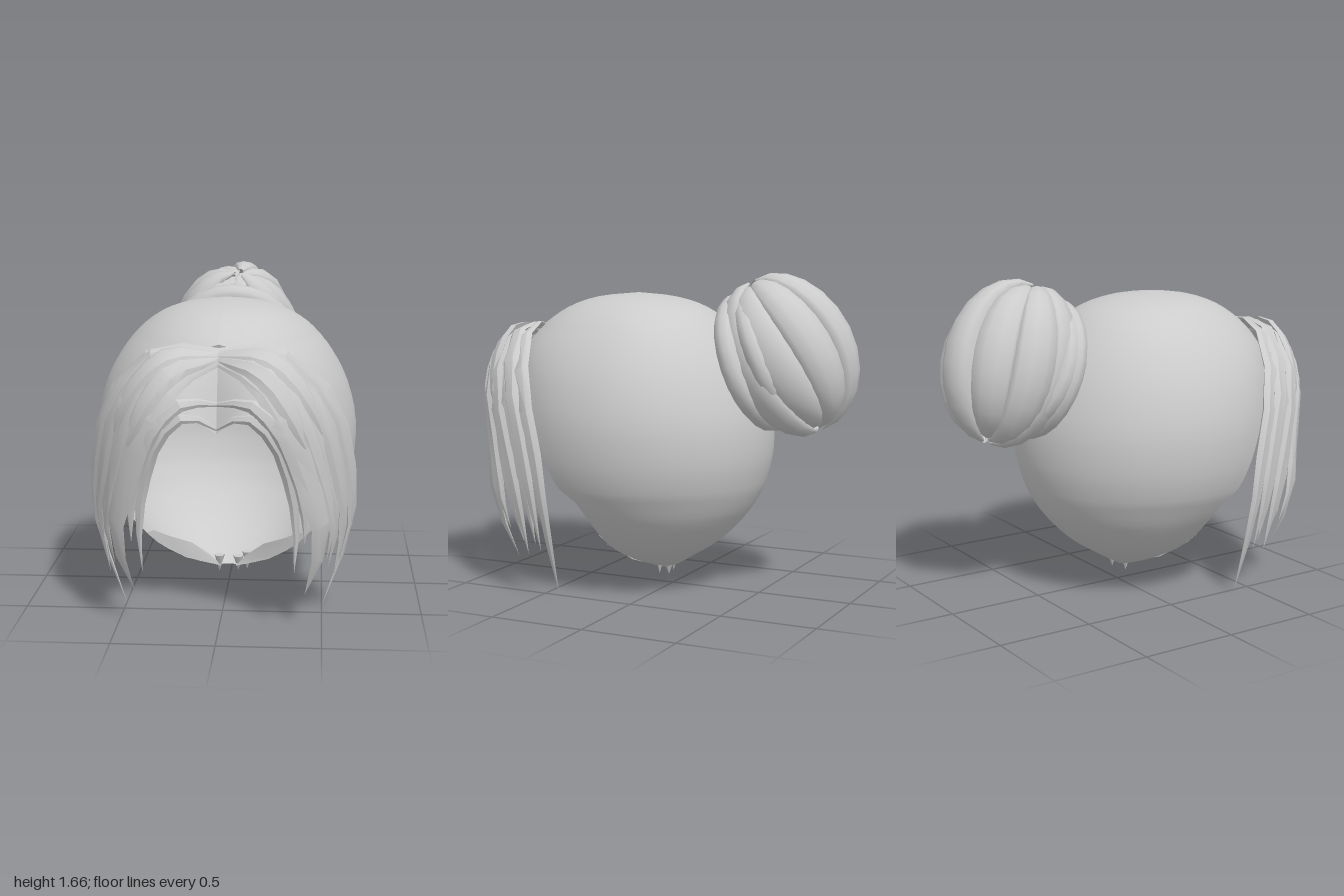
import * as THREE from 'three';
import { toCreasedNormals } from 'three/addons/utils/BufferGeometryUtils.js';

const V = (x, y, z) => new THREE.Vector3(x, y, z);
const curve = (pts) => new THREE.CatmullRomCurve3(pts.map((p) => V(...p)));
const material = new THREE.MeshStandardMaterial({ color: 0xcccccc, side: THREE.DoubleSide });

// Skin a list of equally long rows of points
function skin(rows, closed = false) {
  const n = rows[0].length, index = [];
  for (let i = 0; i < rows.length - 1; i++) {
    for (let k = 0; k < (closed ? n : n - 1); k++) {
      const a = i * n + k, b = i * n + ((k + 1) % n);
      index.push(a, b, a + n, b, b + n, a + n);
    }
  }
  const geometry = new THREE.BufferGeometry().setFromPoints(rows.flat());
  geometry.setIndex(index);
  geometry.computeVertexNormals();
  return geometry;
}

// Lens-shaped lock: path(t) is its centre line, across(t) its width direction
function lock(path, across, width, thick, steps, sides) {
  const rows = [];
  for (let i = 0; i <= steps; i++) {
    const t = i / steps, e = 0.01;
    const p = path(t);
    const tangent = path(Math.min(1, t + e)).sub(path(Math.max(0, t - e))).normalize();
    const side = across(t);
    side.addScaledVector(tangent, -side.dot(tangent)).normalize();
    const normal = tangent.clone().cross(side);
    rows.push(Array.from({ length: sides }, (_, k) => {
      const a = (k / sides) * Math.PI * 2;
      return p.clone()
        .addScaledVector(side, Math.cos(a) * width(t))
        .addScaledVector(normal, Math.sin(a) * thick(t));
    }));
  }
  return skin(rows, true);
}

// Skull cap: horizontal layers, open at the face
function capGeometry() {
  // half width, height, back z
  const outer = curve([[0.04, 0.12, 0], [0.22, 0.19, -0.12], [0.37, 0.29, -0.27], [0.51, 0.44, -0.41],
    [0.58, 0.545, -0.47], [0.615, 0.61, -0.495], [0.655, 0.75, -0.525], [0.665, 0.95, -0.52], [0.62, 1.15, -0.46],
    [0.545, 1.3, -0.38], [0.45, 1.42, -0.28], [0.34, 1.505, -0.17], [0.2, 1.56, -0.01], [0, 1.585, 0.2]]);
  // full front z, rim z, z of the widest point
  const front = curve([[0.1, 0.04, 0.02], [0.3, 0.13, 0.05], [0.55, 0.2, 0.08], [0.7, 0.24, 0.1],
    [0.78, 0.28, 0.12], [0.82, 0.37, 0.12], [0.85, 0.44, 0.12], [0.86, 0.53, 0.12], [0.86, 0.64, 0.12],
    [0.82, 0.73, 0.12], [0.72, 0.72, 0.12], [0.59, 0.59, 0.15], [0.43, 0.43, 0.19], [0.2, 0.2, 0.2]]);
  const rows = [];
  for (let i = 0; i <= 39; i++) {
    const o = outer.getPoint(i / 39), f = front.getPoint(i / 39);
    const rim = i >= 30 ? Math.PI / 2 : Math.asin(Math.min(1, (f.y - f.z) / (f.x - f.z)));
    rows.push(Array.from({ length: 41 }, (_, k) => {
      const a = rim - (k / 40) * (Math.PI + 2 * rim), s = Math.sin(a);
      return V(o.x * Math.cos(a), o.y, f.z + s * (s > 0 ? f.x - f.z : f.z - o.z));
    }));
  }
  return skin(rows);
}

// Guide lines of the fringe, from the face edge to the temple
const guides = [
  [[0, 1.03, 0.9], [0.13, 1.11, 0.96], [0.25, 1.03, 0.95], [0.33, 0.83, 0.89], [0.365, 0.6, 0.85], [0.36, 0.29, 0.81]],
  [[0, 1.35, 0.79], [0.2, 1.27, 0.9], [0.33, 1.08, 0.92], [0.43, 0.8, 0.84], [0.49, 0.5, 0.78], [0.41, 0.2, 0.7]],
  [[0, 1.38, 0.77], [0.25, 1.36, 0.82], [0.45, 1.13, 0.79], [0.54, 0.8, 0.68], [0.58, 0.55, 0.6], [0.54, 0.26, 0.56]],
  [[0, 1.4, 0.74], [0.27, 1.4, 0.7], [0.53, 1.16, 0.59], [0.63, 0.82, 0.46], [0.64, 0.48, 0.4], [0.49, 0.01, 0.4]],
].map(curve);

function fringePoint(s, t, mirror) {
  const p = new THREE.CatmullRomCurve3(guides.map((g) => g.getPoint(t))).getPoint(s);
  p.x *= mirror;
  return p;
}

function fringeLock([s, length, halfWidth, lift], mirror) {
  const path = (t) => {
    const p = fringePoint(s, t * length, mirror);
    const out = p.clone().sub(V(0, 0.8, 0.2)).normalize();
    return p.addScaledVector(out, lift * Math.min(1, t * 4));
  };
  const across = (t) => fringePoint(Math.min(1, s + 0.03), t * length, mirror)
    .sub(fringePoint(Math.max(0, s - 0.03), t * length, mirror));
  const taper = (t) => Math.min(1, 0.25 + 2.2 * t) * (t > 0.62 ? Math.pow((1 - t) / 0.38, 0.65) : 1);
  return toCreasedNormals(lock(path, across, (t) => halfWidth * taper(t), (t) => 0.024 * taper(t), 8, 6), 0.5);
}

// Place along the fringe, length, half width, lift
const fringeLocks = [
  [0.02, 0.97, 0.035, 0], [0.12, 0.85, 0.04, 0.012], [0.33, 1, 0.085, 0.012], [0.47, 0.9, 0.06, 0.02],
  [0.58, 0.97, 0.06, 0.005], [0.68, 1, 0.06, 0.02], [0.78, 0.94, 0.06, 0.005], [0.87, 0.92, 0.055, 0.02],
  [0.97, 1, 0.055, 0.005],
  // Short upper layer
  [0.4, 0.55, 0.06, 0.025], [0.62, 0.5, 0.065, 0.025],
];

// Bun: thick locks twisting from pole to pole over a core, pressed flat against the head
function buildBun() {
  const bun = new THREE.Group();
  bun.name = 'bun';
  const core = new THREE.Mesh(new THREE.SphereGeometry(1, 20, 14).scale(0.28, 0.36, 0.22), material);
  core.name = 'bunCore';
  core.position.z = -0.05;
  bun.add(core);
  const count = 9;
  for (let i = 0; i < count; i++) {
    const start = (i / count) * Math.PI * 2 + Math.PI;
    const swell = [0.025, 0, 0.012][i % 3];
    const angle = (t) => start + 0.6 * (t - 0.5);
    const path = (t) => {
      const lat = 0.1 + t * (Math.PI - 0.2), r = (0.275 + swell) * Math.sin(lat);
      const z = r * Math.cos(angle(t));
      return V(r * Math.sin(angle(t)), (0.385 + swell) * Math.cos(lat), z > 0 ? z * 0.7 : z);
    };
    const across = (t) => V(Math.cos(angle(t)), 0, -Math.sin(angle(t)));
    const bulge = (t) => 0.12 + 0.88 * Math.pow(Math.sin(Math.PI * t), 0.8);
    const mesh = new THREE.Mesh(lock(path, across, (t) => 0.115 * bulge(t), (t) => 0.07 * bulge(t), 12, 10), material);
    mesh.name = 'bunLock';
    bun.add(mesh);
  }
  bun.rotation.set(0.43, 0, -0.06);
  bun.position.set(0, 1.275, -0.63);
  return bun;
}

export function createModel() {
  const model = new THREE.Group();
  const add = (name, geometry) => {
    const mesh = new THREE.Mesh(geometry, material);
    mesh.name = name;
    model.add(mesh);
    return mesh;
  };

  add('hairCap', capGeometry());

  for (const mirror of [1, -1]) {
    const prefix = mirror > 0 ? 'left' : 'right';
    // Sheet under the fringe locks
    const rows = Array.from({ length: 13 }, (_, i) =>
      Array.from({ length: 13 }, (_, k) => fringePoint(i / 12, (k / 12) * 0.66, mirror)));
    if (mirror < 0) rows.reverse();
    add(prefix + 'FringeBase', toCreasedNormals(skin(rows), 0.6));
    for (const spec of fringeLocks) add(prefix + 'FringeLock', fringeLock(spec, mirror));

    // Flap turned in along the lower rim
    const flap = [
      [[0.04, 0.12, 0.04], [0.22, 0.19, 0.13], [0.36, 0.29, 0.2], [0.42, 0.35, 0.22]],
      [[0.09, 0.18, 0.05], [0.19, 0.27, 0.12], [0.3, 0.32, 0.18], [0.38, 0.36, 0.21]],
    ].map((row) => row.map(([x, y, z]) => V(x * mirror, y, z)));
    if (mirror < 0) flap.reverse();
    add(prefix + 'NapeFlap', skin(flap));
  }

  model.add(buildBun());
  // Two crossing strands wound round the foot of the bun: radius, tube, y, z, tilt, lean
  [[0.31, 0.06, 1.24, -0.475, 0.35, 0], [0.315, 0.055, 1.27, -0.56, 0.42, 0.16]].forEach(([r, tube, y, z, tilt, lean]) => {
    const collar = add('bunCollar', new THREE.TorusGeometry(r, tube, 10, 24));
    collar.position.set(0, y, z);
    collar.rotation.set(tilt, lean, 0);
  });

  // Small tufts at the nape
  [[-0.05, 0.13, 0.02, 0.09], [0.05, 0.125, 0, 0.08], [0.1, 0.15, 0.03, 0.1]].forEach(([x, y, z, h]) => {
    const tuft = add('napeTuft', new THREE.ConeGeometry(0.03, h, 5));
    tuft.position.set(x, y, z);
    tuft.rotation.x = Math.PI;
  });
  return model;
}
